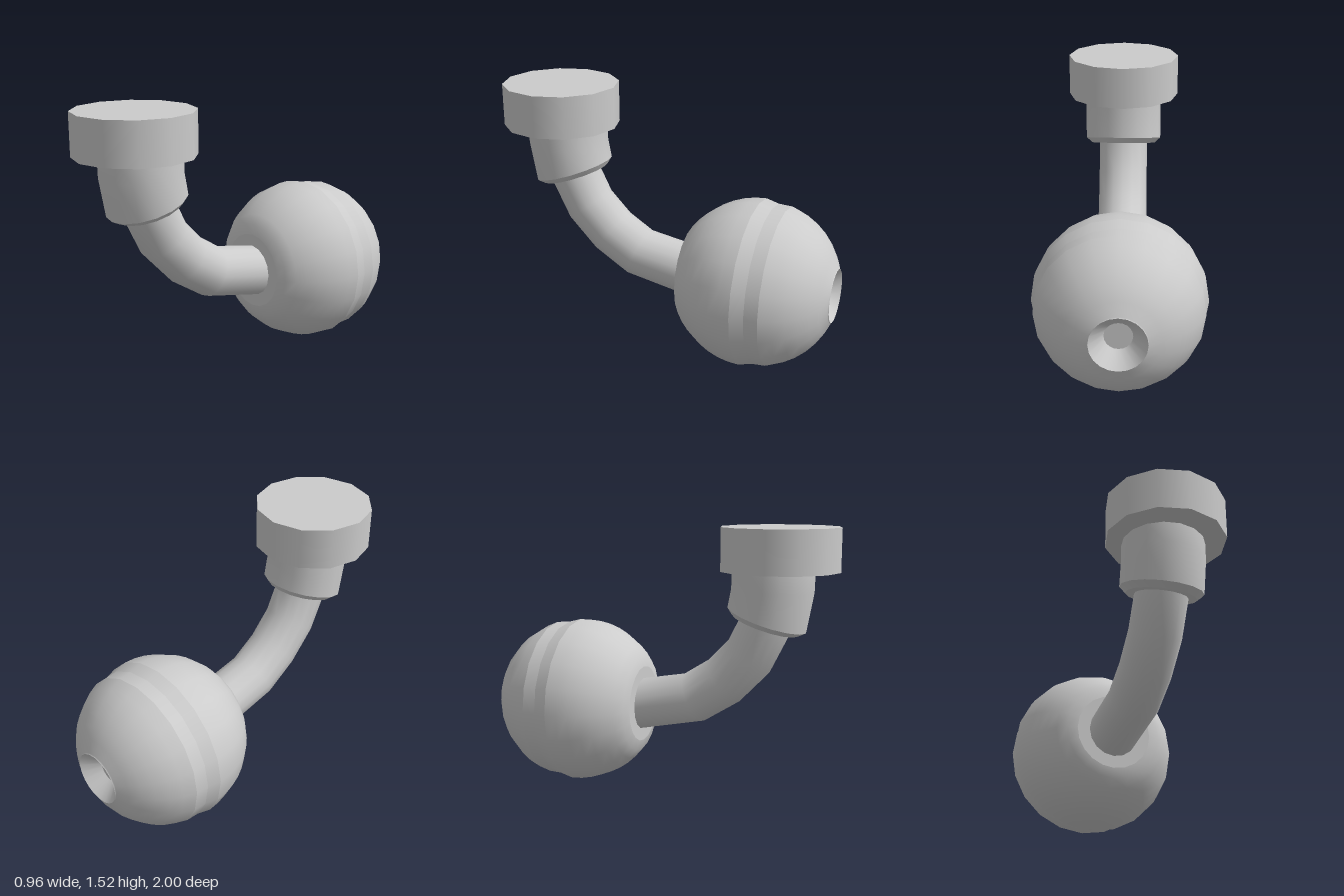
import * as THREE from 'three';
import { toCreasedNormals } from 'three/addons/utils/BufferGeometryUtils.js';

const material = new THREE.MeshStandardMaterial({ color: 0xcccccc });
const BALL = { y: 0.482, z: -0.54, r: 0.48 };

function addMesh(parent, name, geometry) {
  const mesh = new THREE.Mesh(geometry, material);
  mesh.name = name;
  parent.add(mesh);
  return mesh;
}

// Skin over round rings [y, z, radius, tilt], each tilted about x
function loft(rings, sides) {
  const positions = [], index = [];
  rings.forEach(([y, z, r, tilt], i) => {
    for (let j = 0; j < sides; j++) {
      const t = (j / sides) * Math.PI * 2, f = r * Math.cos(t);
      positions.push(r * Math.sin(t), y + f * Math.sin(tilt), z + f * Math.cos(tilt));
      if (i === rings.length - 1) continue;
      const a = i * sides + j, b = i * sides + (j + 1) % sides;
      index.push(a, b, a + sides, b, b + sides, a + sides);
    }
  });
  const geometry = new THREE.BufferGeometry();
  geometry.setAttribute('position', new THREE.Float32BufferAttribute(positions, 3));
  geometry.setIndex(index);
  return toCreasedNormals(geometry, 0.6);
}

// Points [radius, depth] on the ball, angles measured from its front pole
function arc(from, to, steps) {
  return Array.from({ length: steps + 1 }, (_, i) => {
    const a = from + ((to - from) * i) / steps;
    return [BALL.r * Math.sin(a), -BALL.r * Math.cos(a)];
  });
}

export function createModel() {
  const model = new THREE.Group();
  model.name = 'ballEndedArm';

  // Ball: separate bands keep the edges between them sharp
  const ball = new THREE.Group();
  ball.name = 'ball';
  ball.position.set(0, BALL.y, BALL.z);
  ball.rotation.x = -Math.PI / 2;
  model.add(ball);
  const front = arc(0.62, Math.PI / 2, 7);
  const back = arc(1.89, 2.81, 6);
  const rim = [0.152, 0.46];
  const bands = {
    frontFace: [[0, -0.405], [0.22, -0.405]],
    frontShell: [[0.22, -0.405], ...front],
    grooveBevel: [[BALL.r, 0], [0.46, 0.075]],
    grooveFloor: [[0.46, 0.075], back[0]],
    backShell: [...back, rim],
    recessWall: [rim, [0.075, 0.37]],
    recessFloor: [[0.075, 0.37], [0, 0.37]],
  };
  for (const [name, points] of Object.entries(bands)) {
    const profile = points.map(([r, d]) => new THREE.Vector2(r, d));
    addMesh(ball, name, new THREE.LatheGeometry(profile, 20));
  }

  // Curved neck from the ball up into the collar
  addMesh(model, 'neck', loft([
    [0.47, -0.2, 0.147, -1.4],
    [0.485, -0.13, 0.147, -1.4],
    [0.545, 0.18, 0.147, -1.15],
    [0.655, 0.355, 0.147, -0.88],
    [0.805, 0.5, 0.147, -0.62],
    [0.99, 0.592, 0.147, -0.31],
    [1.05, 0.61, 0.147, -0.31],
  ], 16));

  // Bent collar with a bevelled lower end
  addMesh(model, 'collar', loft([
    [0.99, 0.59, 0.14, -0.31],
    [0.99, 0.59, 0.195, -0.31],
    [1.02, 0.6, 0.23, -0.31],
    [1.18, 0.63, 0.23, -0.04],
    [1.29, 0.633, 0.23, 0],
  ], 16));

  // Twelve-sided cap
  const cap = new THREE.CylinderGeometry(0.333, 0.333, 0.24, 12);
  addMesh(model, 'cap', cap).position.set(0, 1.405, 0.667);

  return model;
}
